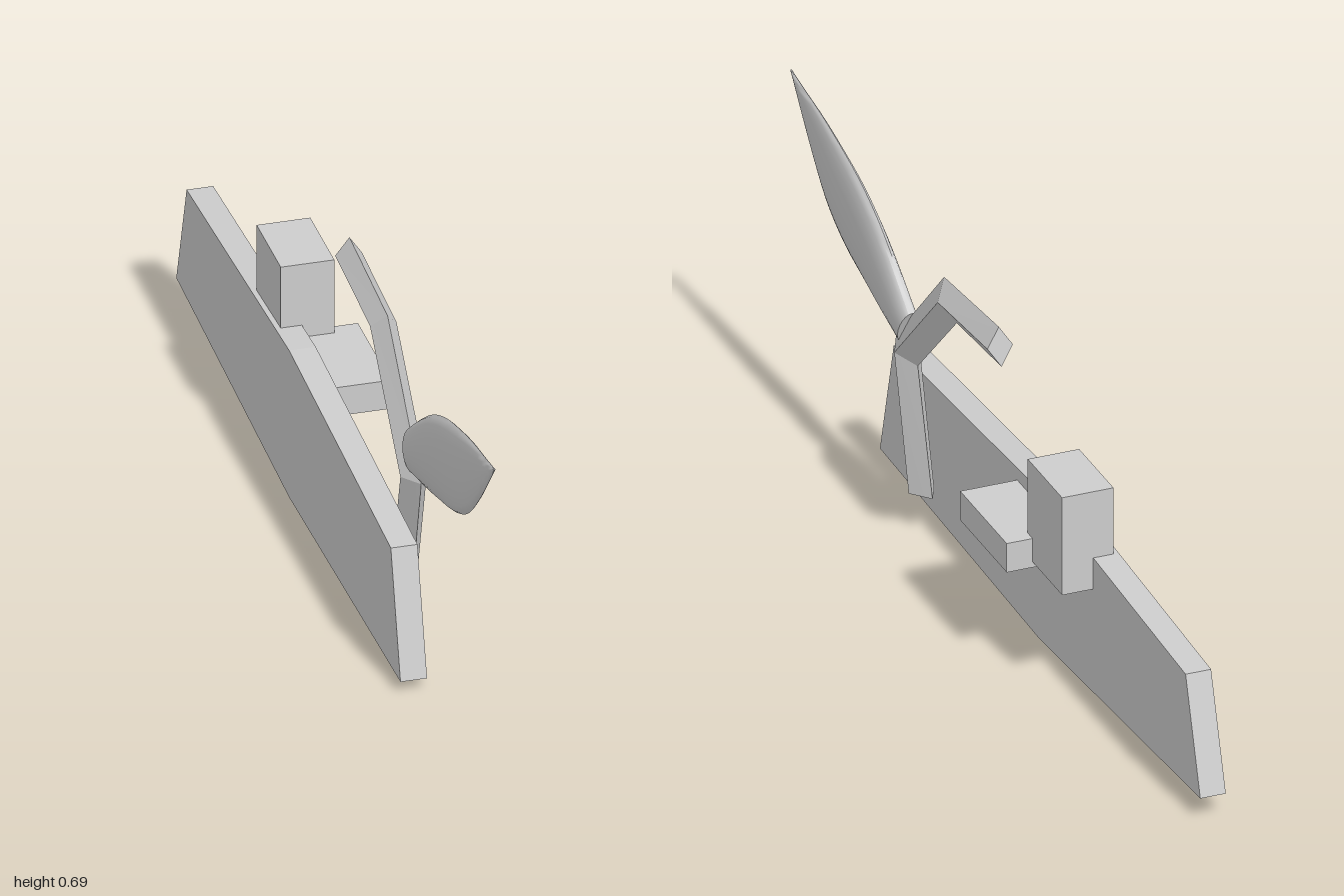
import * as THREE from 'three';
import { toCreasedNormals } from 'three/addons/utils/BufferGeometryUtils.js';

// Skin a row of cross-sections lying along a path in the z-y plane.
// station: lo and hi are the [z, y] ends of the section, w its half width in x
function loft(stations, sides, crease) {
  const pos = [], idx = [];
  for (const { lo, hi, w } of stations) {
    for (let j = 0; j < sides; j++) {
      const a = (j / sides) * Math.PI * 2;
      const t = 0.5 + 0.5 * Math.sin(a);
      pos.push(Math.cos(a) * w, lo[1] + (hi[1] - lo[1]) * t, lo[0] + (hi[0] - lo[0]) * t);
    }
  }
  const last = (stations.length - 1) * sides;
  for (let i = 0; i < last; i += sides) {
    for (let j = 0; j < sides; j++) {
      const a = i + j, b = i + (j + 1) % sides;
      idx.push(a, b, a + sides, b, b + sides, a + sides);
    }
  }
  for (let j = 1; j < sides - 1; j++) {
    idx.push(0, j + 1, j, last, last + j, last + j + 1);
  }
  const g = new THREE.BufferGeometry();
  g.setAttribute('position', new THREE.Float32BufferAttribute(pos, 3));
  g.setIndex(idx);
  return toCreasedNormals(g, crease);
}

export function createModel() {
  const model = new THREE.Group();
  const grey = new THREE.MeshStandardMaterial({ color: 0xcccccc });
  grey.name = 'light grey';

  const add = (name, geometry) => {
    const mesh = new THREE.Mesh(geometry, grey);
    mesh.name = name;
    model.add(mesh);
    return mesh;
  };
  const block = (name, x0, x1, y0, y1, z0, z1) =>
    add(name, new THREE.BoxGeometry(x1 - x0, y1 - y0, z1 - z0))
      .position.set((x0 + x1) / 2, (y0 + y1) / 2, (z0 + z1) / 2);

  // Long upright slab, outline in z-y
  const outline = [
    [0.63, 0.024], [0.56, 0.287], [-0.18, 0.33],
    [-0.925, 0.287], [-1, 0.048], [-0.18, 0],
  ].map(([z, y]) => new THREE.Vector2(z, y));
  const slab = new THREE.ExtrudeGeometry(new THREE.Shape(outline), { depth: 0.054, bevelEnabled: false });
  slab.rotateY(-Math.PI / 2);
  add('slab', slab).position.x = -0.034;

  // Two blocks attached to the slab
  block('upperBlock', -0.077, 0.032, 0.245, 0.461, -0.455, -0.28);
  block('sideBlock', -0.04, 0.087, 0.233, 0.297, -0.305, -0.068);

  // Bent stem with a diamond section: outer edge to inner edge at each bend
  add('stem', loft([
    { lo: [0.394, 0.07], hi: [0.281, 0.09], w: 0.027 },
    { lo: [0.466, 0.366], hi: [0.356, 0.348], w: 0.027 },
    { lo: [0.222, 0.612], hi: [0.158, 0.541], w: 0.027 },
    { lo: [-0.056, 0.638], hi: [-0.07, 0.556], w: 0.027 },
  ], 4, 0.1));

  // Flattened leaf: distance along the axis, reach below, reach above, half width
  const leafProfile = new THREE.CatmullRomCurve3([
    [0, 0.048, 0.044], [0.1, 0.071, 0.067], [0.2, 0.09, 0.082], [0.3, 0.106, 0.082],
    [0.4, 0.102, 0.067], [0.5, 0.07, 0.046], [0.59, 0.032, 0.02], [0.658, 0.001, 0.001],
  ].map((p) => new THREE.Vector3(...p)));
  const leafWidth = (s) => 0.002 + 0.019 * Math.cos(Math.max(0, s - 0.08) / 0.578 * Math.PI / 2);
  const base = [0.405, 0.41], dir = [0.905, 0.424];
  const at = (s, r) => [base[0] + dir[0] * s - dir[1] * r, base[1] + dir[1] * s + dir[0] * r];
  const stations = leafProfile.getPoints(24).map(({ x: s, y: below, z: above }) => ({
    lo: at(s, -below), hi: at(s, above), w: leafWidth(s),
  }));
  add('leaf', loft(stations, 20, 1));

  return model;
}
